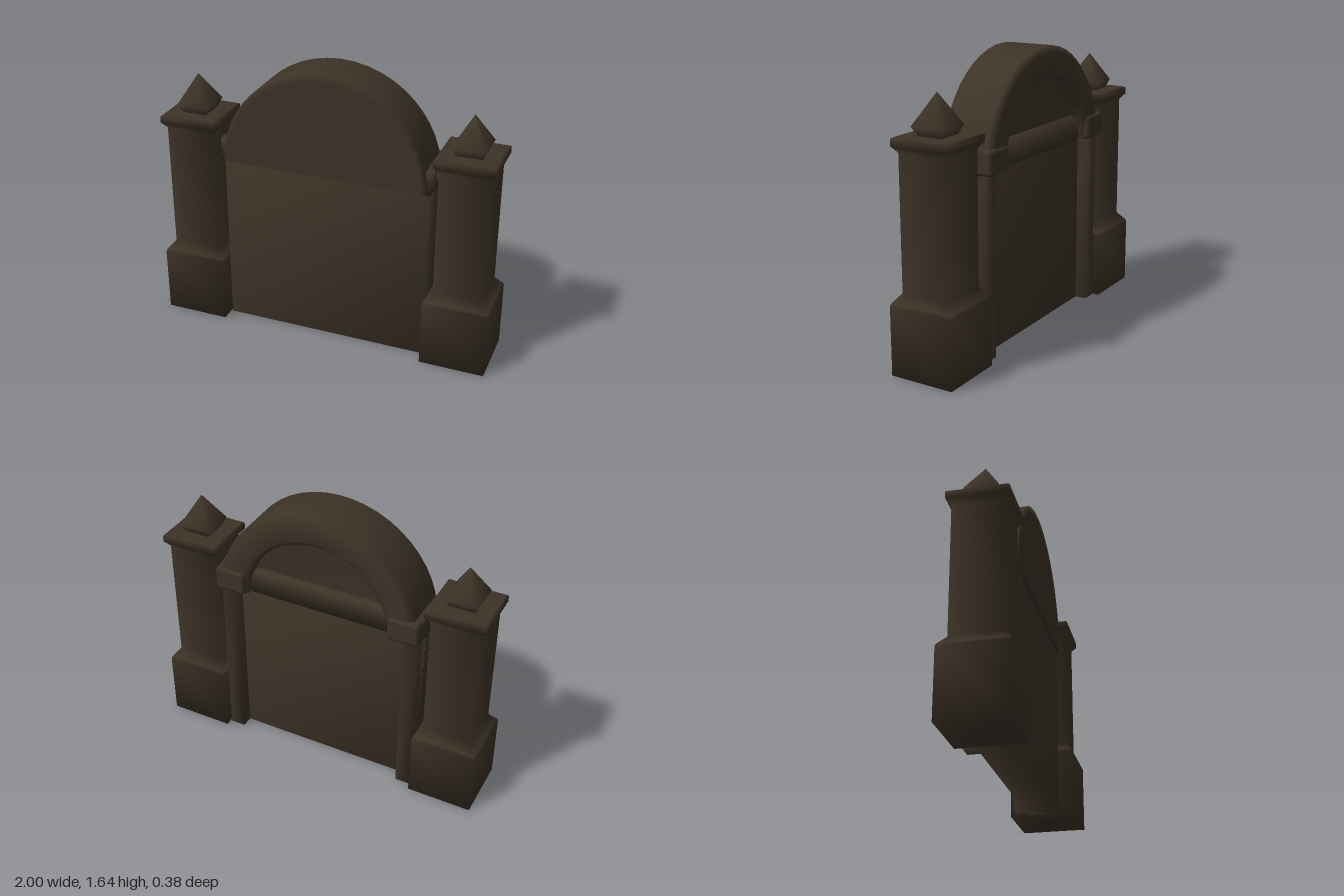
import * as THREE from 'three';
import { mergeVertices } from 'three/addons/utils/BufferGeometryUtils.js';
import { RoundedBoxGeometry } from 'three/addons/geometries/RoundedBoxGeometry.js';

const stone = new THREE.MeshStandardMaterial({ color: 0x3d3327 });
stone.name = 'darkStone';

const points = (list) => list.map(([r, y]) => new THREE.Vector2(r, y));

function part(name, geometry, x = 0, y = 0, z = 0) {
  const mesh = new THREE.Mesh(geometry, stone);
  mesh.name = name;
  mesh.position.set(x, y, z);
  return mesh;
}

// Box given by its limits, with normals shared across the edges
function softBox(name, x0, x1, y0, y1, z0, z1) {
  const box = new THREE.BoxGeometry(x1 - x0, y1 - y0, z1 - z0);
  box.deleteAttribute('uv');
  box.deleteAttribute('normal');
  const geometry = mergeVertices(box);
  geometry.computeVertexNormals();
  return part(name, geometry, (x0 + x1) / 2, (y0 + y1) / 2, (z0 + z1) / 2);
}

// Four-sided turned form; the profile lists half widths and heights
function squareLathe(profile) {
  const scaled = profile.map(([half, y]) => [half * Math.SQRT2, y]);
  return new THREE.LatheGeometry(points(scaled), 4, Math.PI / 4);
}

export function createModel() {
  const model = new THREE.Group();
  model.name = 'archedGate';

  // Pillars with plinth, cap and pointed finial
  const pillarProfile = [
    [0, 0], [0.19, 0], [0.19, 0.39], [0.183, 0.405], [0.142, 0.455],
    [0.142, 1.2], [0.17, 1.235], [0.17, 1.272], [0.16, 1.28], [0, 1.28],
  ];
  const finialProfile = [[0.07, 1.275], [0.096, 1.33], [0, 1.5]];

  for (const side of [-1, 1]) {
    const pillar = new THREE.Group();
    pillar.name = side > 0 ? 'leftPillar' : 'rightPillar';
    pillar.position.x = side * 0.81;
    pillar.add(part('pillarShaft', squareLathe(pillarProfile)));
    pillar.add(part('finial', squareLathe(finialProfile)));
    model.add(pillar);

    // Short rod joining pillar and arch
    const rod = new THREE.CylinderGeometry(0.034, 0.034, 0.1, 8).rotateZ(Math.PI / 2);
    model.add(part('connectorRod', rod, side * 0.645, 1.11, 0));

    // Door jamb and the block on which the arch rests
    const jambX = [side * 0.52, side * 0.61].sort((a, b) => a - b);
    model.add(softBox('doorJamb', ...jambX, 0, 1.06, -0.15, 0.05));
    model.add(part('impostBlock', new RoundedBoxGeometry(0.185, 0.14, 0.25, 1, 0.02), side * 0.5325, 1.11, -0.07));
  }

  // Door panel and the bar across its top
  model.add(softBox('doorPanel', -0.61, 0.61, 0, 1.06, -0.08, 0.105));
  model.add(softBox('crossBar', -0.622, 0.622, 1.04, 1.178, -0.13, 0.122));

  // Half-round arch with a recessed back and a raised, chamfered rim
  const archProfile = points([
    [0, -0.08], [0.43, -0.08], [0.43, -0.15], [0.46, -0.18], [0.57, -0.18],
    [0.605, -0.15], [0.605, 0.125], [0.57, 0.128], [0, 0.128],
  ]);
  const arch = new THREE.LatheGeometry(archProfile, 24, Math.PI / 2, Math.PI).rotateX(Math.PI / 2);
  model.add(part('arch', arch, 0, 1.04, 0));

  return model;
}
